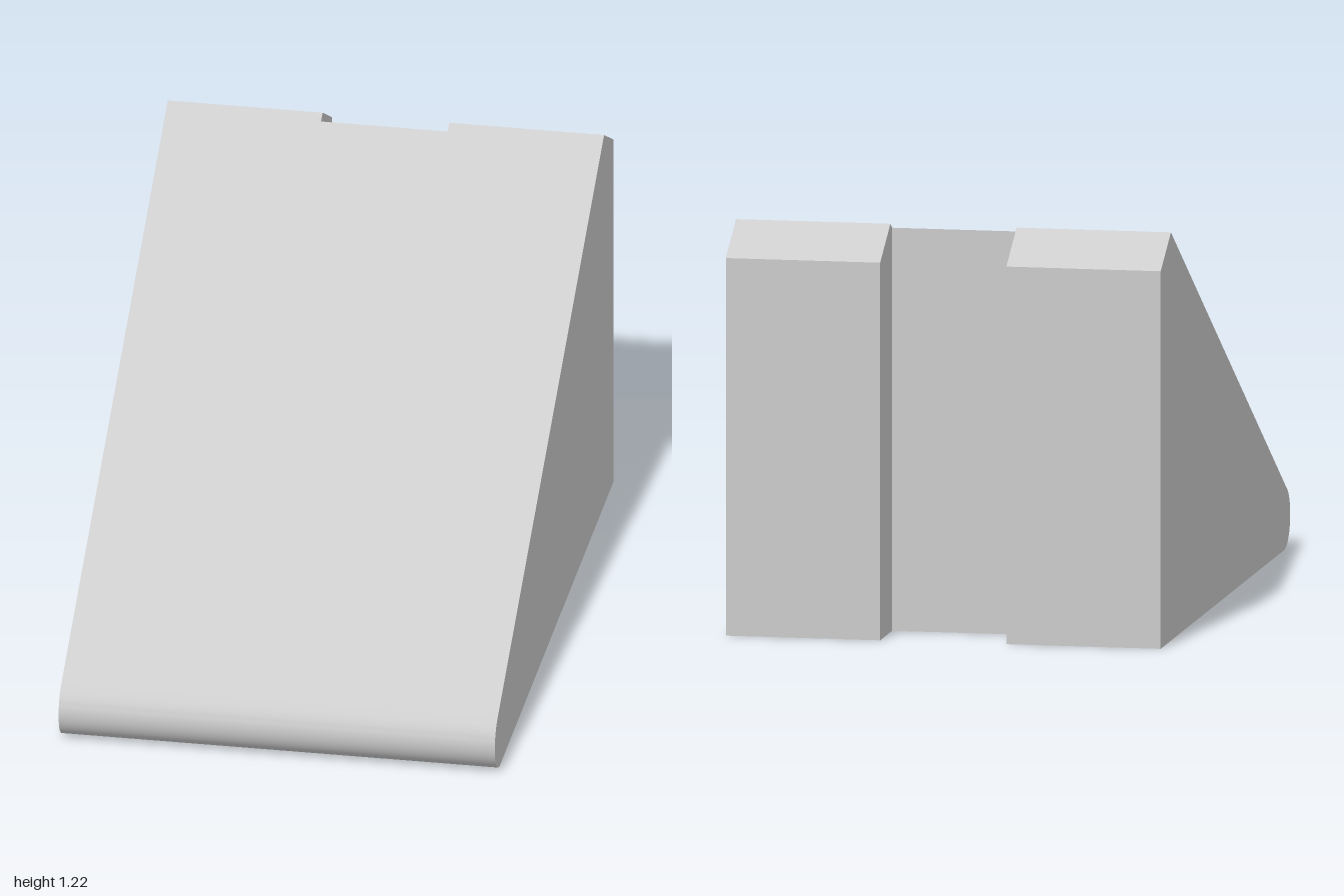
import * as THREE from 'three';
import { toCreasedNormals } from 'three/addons/utils/BufferGeometryUtils.js';

const HALF_WIDTH = 0.655, SLOT = 0.19, SLOT_Z = -0.815;
const NOSE_R = 0.094, NOSE_STEPS = 24;
const PEAK = [-0.842, 1.222];

// Side outline as [z, y]: rounded nose, sloped face, chamfered top, back
function outline() {
  const points = [];
  for (let i = 0; i <= NOSE_STEPS; i++) {
    const a = THREE.MathUtils.degToRad(-90 + (150 * i) / NOSE_STEPS);
    points.push([1 - NOSE_R + NOSE_R * Math.cos(a), NOSE_R + NOSE_R * Math.sin(a)]);
  }
  points.push(PEAK, [-1, 1.13], [-1, 0]);
  return points;
}

// Same outline with everything behind the slot wall pulled forward onto it
function slotOutline(full) {
  const [z0, y0] = full[NOSE_STEPS];
  const t = (SLOT_Z - z0) / (PEAK[0] - z0);
  const top = y0 + t * (PEAK[1] - y0);
  return full.map(([z, y]) => (z < SLOT_Z ? [SLOT_Z, Math.min(y, top)] : [z, y]));
}

function wedgeGeometry() {
  const full = outline(), slot = slotOutline(full);
  const sections = [
    [-HALF_WIDTH, full], [-SLOT, full], [-SLOT, slot],
    [SLOT, slot], [SLOT, full], [HALF_WIDTH, full],
  ].map(([x, loop]) => loop.map(([z, y]) => new THREE.Vector3(x, y, z)));

  const positions = [];
  const triangle = (a, b, c) => {
    if (new THREE.Triangle(a, b, c).getArea() < 1e-7) return;
    for (const p of [a, b, c]) positions.push(p.x, p.y, p.z);
  };

  // Skin between neighbouring sections, including the slot walls
  const n = full.length;
  for (let s = 0; s < sections.length - 1; s++) {
    const A = sections[s], B = sections[s + 1];
    for (let i = 0; i < n; i++) {
      const j = (i + 1) % n;
      triangle(A[i], B[i], B[j]);
      triangle(A[i], B[j], A[j]);
    }
  }

  // Flat sides
  const right = sections[0], left = sections[sections.length - 1];
  for (let i = 1; i < n - 1; i++) {
    triangle(right[0], right[i], right[i + 1]);
    triangle(left[0], left[i + 1], left[i]);
  }

  const geometry = new THREE.BufferGeometry();
  geometry.setAttribute('position', new THREE.Float32BufferAttribute(positions, 3));
  return toCreasedNormals(geometry, THREE.MathUtils.degToRad(25));
}

export function createModel() {
  const group = new THREE.Group();
  group.name = 'slottedWedge';
  const wedge = new THREE.Mesh(
    wedgeGeometry(),
    new THREE.MeshStandardMaterial({ color: 0xcccccc })
  );
  wedge.name = 'wedgeBody';
  group.add(wedge);
  return group;
}
